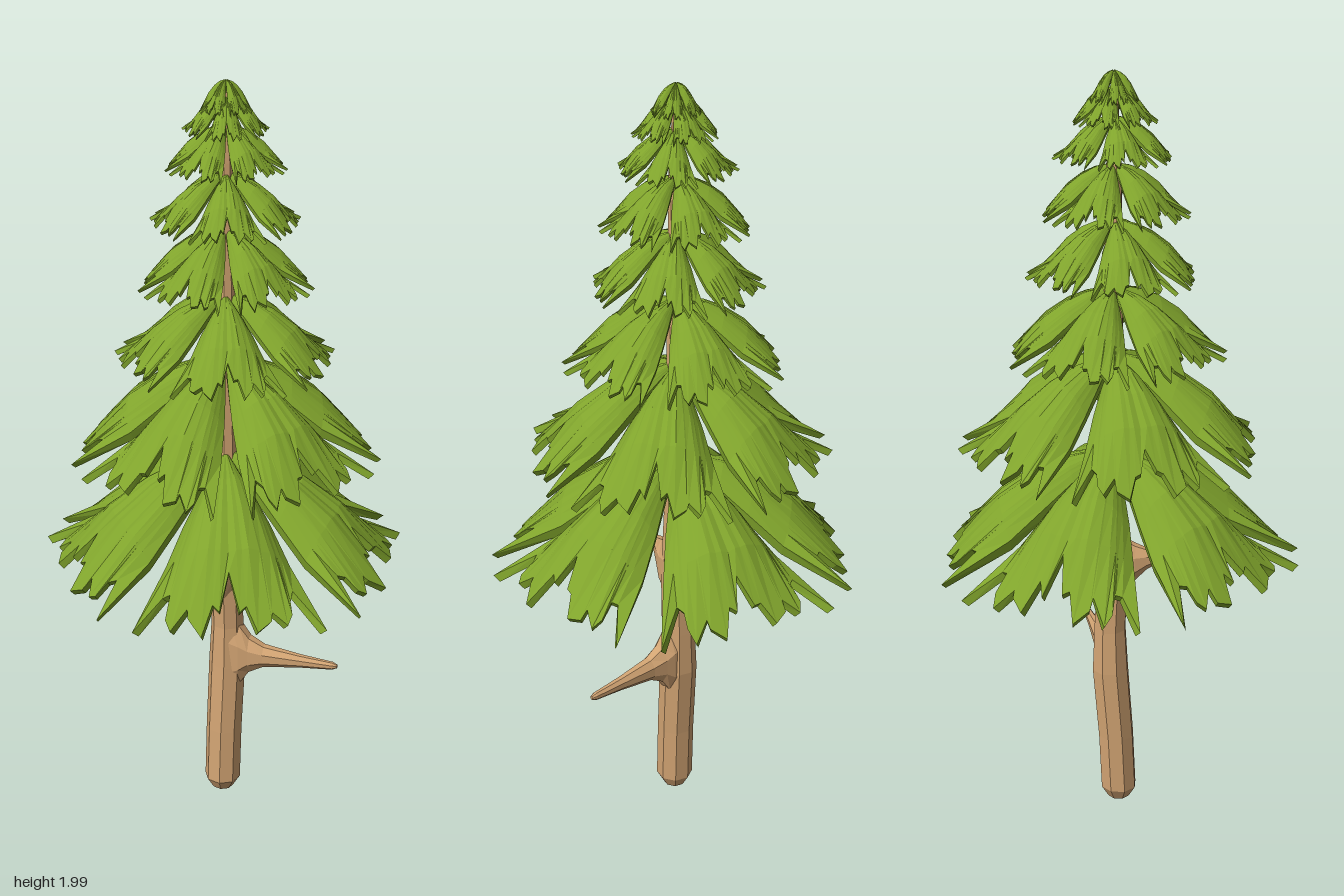
import * as THREE from 'three';

const V = (x, y, z) => new THREE.Vector3(x, y, z);
const AXIS = V(-0.005, 0, -0.04);

// Small seeded noise in -1..1
let seed = 7;
const noise = () => {
  seed = (seed * 16807) % 2147483647;
  return (seed / 2147483647) * 2 - 1;
};

// Skins closed rings of points and closes both ends with strips
function loft(rings) {
  const n = rings[0].length, pos = [];
  const quad = (a, b, c, d) => {
    for (const p of [a, b, c, a, c, d]) pos.push(p.x, p.y, p.z);
  };
  for (let i = 0; i < rings.length - 1; i++) {
    const r = rings[i], s = rings[i + 1];
    for (let j = 0; j < n; j++) {
      const k = (j + 1) % n;
      quad(r[j], r[k], s[k], s[j]);
    }
  }
  const first = rings[0], last = rings[rings.length - 1];
  for (let j = 0; j < n / 2 - 1; j++) {
    quad(last[j], last[j + 1], last[n - 2 - j], last[n - 1 - j]);
    quad(first[n - 1 - j], first[n - 2 - j], first[j + 1], first[j]);
  }
  const g = new THREE.BufferGeometry();
  g.setAttribute('position', new THREE.Float32BufferAttribute(pos, 3));
  g.computeVertexNormals();
  return g;
}

// Elliptical ring around c in the plane of u and v
function ring(c, u, v, ru, rv, sides = 8) {
  return Array.from({ length: sides }, (_, j) => {
    const a = ((j + 0.5) / sides) * Math.PI * 2;
    return c.clone().addScaledVector(u, ru * Math.cos(a)).addScaledVector(v, rv * Math.sin(a));
  });
}

// Branch stub: steps are [distance, y, half height, half width]
function stub(origin, dir, steps) {
  const up = V(0, 1, 0), side = dir.clone().cross(up);
  return loft(steps.map(([d, y, h, w]) =>
    ring(origin.clone().addScaledVector(dir, d).setY(y), up, side, h, w)));
}

// Half of a frond's rim: [angle in degrees, reach]
const RIM = [[0, 0.7], [3.5, 0.83], [6, 0.81], [9, 0.92], [14, 0.88], [14.8, 0.84], [19, 0.92], [21.5, 0.88], [22.5, 0.8], [25, 0.79], [29.5, 1]];
const SPREAD = 29.5;
const COLUMNS = [...RIM.slice(1).reverse().map(([a, r]) => [-a, r]), ...RIM];
// Frond rows from the trunk outwards: [reach, ridge height, edge height, widening]
const ROWS = [[0.05, 1, 0.95, 1.15], [0.25, 0.93, 0.76, 1.14], [0.42, 0.81, 0.57, 1.11], [0.62, 0.58, 0.33, 1.06]];

// One drooping, pleated frond with a jagged rim
function frond(angle, top, rim, R) {
  const H = top - rim;
  const point = (deg, r, h) => {
    const a = angle + THREE.MathUtils.degToRad(deg);
    return V(AXIS.x + Math.cos(a) * r * R, rim + h * H, AXIS.z + Math.sin(a) * r * R);
  };
  const slab = (cells, thick) => [
    ...cells.map(([a, r, h]) => point(a, r, h)),
    ...cells.map(([a, r, h]) => point(a * 0.96, r * 0.97, h - thick)).reverse(),
  ];
  const rings = ROWS.map(([r, ridge, edge, wide]) => slab(COLUMNS.map(([a, reach]) => {
    const q = Math.abs(a / SPREAD) ** 2.5;
    const pleat = (reach - 0.87) * 0.3 * r * (1 - q);
    return [a * wide, r, THREE.MathUtils.lerp(ridge, edge, q) + pleat];
  }), 0.09));
  rings.push(slab(COLUMNS.map(([a, reach]) => {
    const q = Math.abs(a / SPREAD) ** 2.5;
    const r = reach + (q < 1 ? noise() * 0.02 : 0);
    const ridge = 0.58 - (r - 0.62) * 1.8, edge = 0.33 - (r - 0.62) * 0.77;
    return [a, r, Math.max(0.03, THREE.MathUtils.lerp(ridge, edge, q))];
  }), 0.05));
  return loft(rings);
}

export function createModel() {
  seed = 7;
  const tree = new THREE.Group();
  tree.name = 'pineTree';
  const bark = new THREE.MeshStandardMaterial({ color: 0xd2a473, flatShading: true });
  const needles = new THREE.MeshStandardMaterial({ color: 0x80a42c, flatShading: true });
  const add = (parent, name, geometry, material) => {
    const mesh = new THREE.Mesh(geometry, material);
    mesh.name = name;
    parent.add(mesh);
  };

  // Slightly bent, tapering trunk: [y, z, radius]
  const trunk = [
    [0.008, -0.03, 0.03], [0.04, -0.03, 0.049], [0.2, -0.037, 0.049], [0.4, -0.052, 0.05],
    [0.52, -0.053, 0.044], [0.68, -0.046, 0.043], [0.78, -0.042, 0.037], [1.0, -0.045, 0.029],
    [1.4, -0.043, 0.026], [1.8, -0.04, 0.019], [1.97, -0.04, 0.008],
  ];
  add(tree, 'trunk', loft(trunk.map(([y, z, r]) =>
    ring(V(-0.006, y, z), V(0, 0, 1), V(1, 0, 0), r, r))), bark);

  // Long bare branch on the left and short stub at the front
  add(tree, 'bareBranch', stub(V(0, 0, -0.05), V(0.955, 0, -0.297).normalize(), [
    [0, 0.43, 0.13, 0.04], [0.035, 0.432, 0.095, 0.038], [0.06, 0.434, 0.056, 0.033],
    [0.1, 0.434, 0.033, 0.026], [0.2, 0.434, 0.019, 0.016], [0.29, 0.434, 0.011, 0.01], [0.303, 0.434, 0.005, 0.005],
  ]), bark);
  add(tree, 'shortStub', stub(V(-0.002, 0, -0.045), V(0, 0, 1), [
    [0, 0.69, 0.11, 0.038], [0.035, 0.695, 0.085, 0.036], [0.06, 0.713, 0.052, 0.031],
    [0.09, 0.722, 0.03, 0.022], [0.125, 0.727, 0.015, 0.012], [0.137, 0.728, 0.006, 0.005],
  ]), bark);

  // Eight tiers of five fronds, alternately turned: [top, rim, radius]
  const tiers = [
    [1.035, 0.73, 0.485], [1.29, 1.03, 0.403], [1.465, 1.285, 0.287], [1.635, 1.485, 0.223],
    [1.775, 1.645, 0.191], [1.89, 1.785, 0.152], [1.96, 1.875, 0.108], [2.0, 1.925, 0.066],
  ];
  tiers.forEach(([top, rim, R], i) => {
    const tier = new THREE.Group();
    tier.name = `foliageTier${i + 1}`;
    for (let k = 0; k < 5; k++) {
      const angle = THREE.MathUtils.degToRad((i % 2 ? 90 : 55) + k * 72);
      add(tier, `frond${k + 1}`, frond(angle, top, rim, R), needles);
    }
    tree.add(tier);
  });
  return tree;
}
